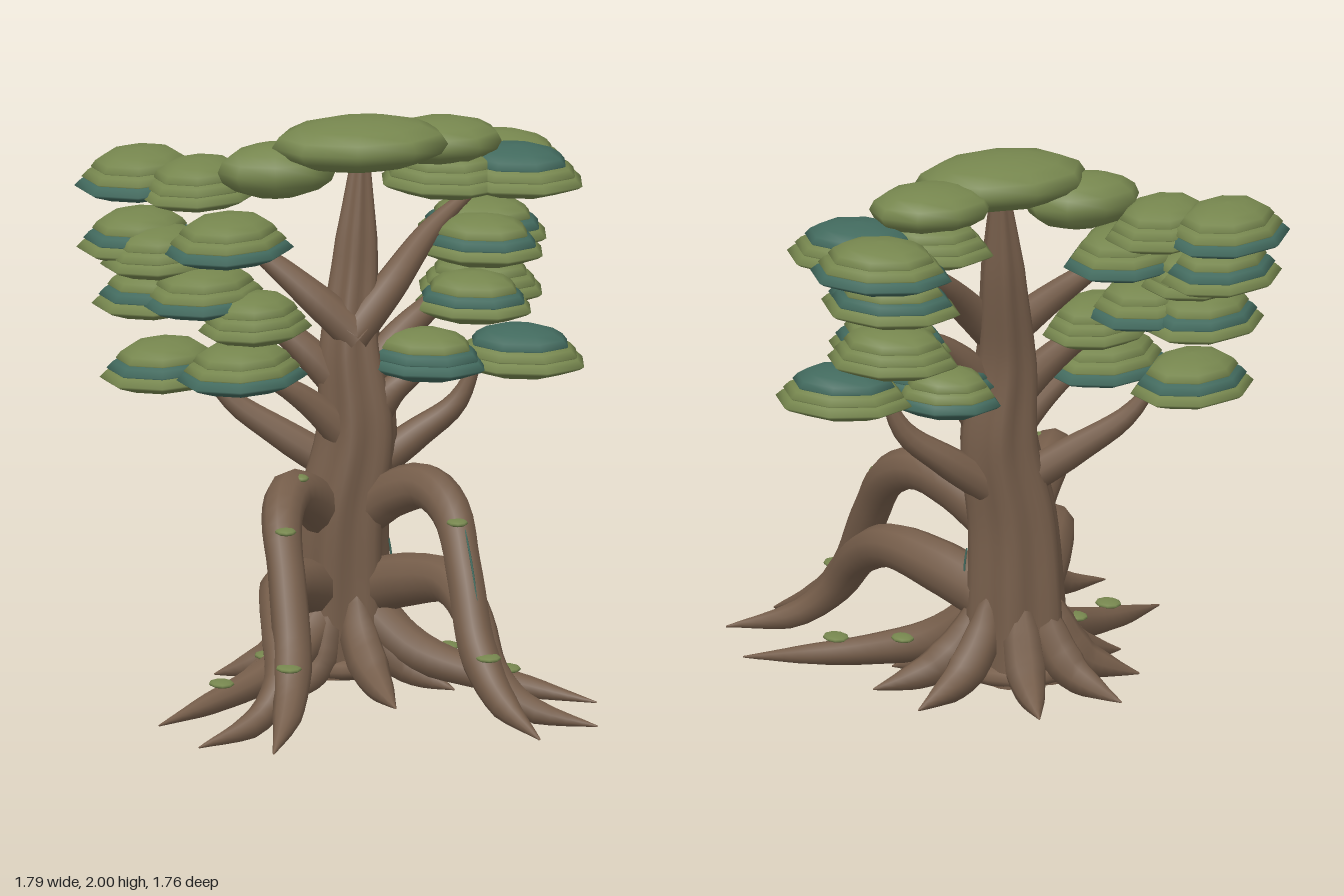
import * as THREE from 'three';
import { mergeVertices } from 'three/addons/utils/BufferGeometryUtils.js';

const V = (p) => new THREE.Vector3(...p);
const mat = (name, color) => {
  const m = new THREE.MeshStandardMaterial({ color });
  m.name = name;
  return m;
};

// Linear lookup in an evenly spaced list
function sample(list, t) {
  const f = t * (list.length - 1);
  const i = Math.min(Math.floor(f), list.length - 2);
  return THREE.MathUtils.lerp(list[i], list[i + 1], f - i);
}

// Tapered tube along a curve, kept above the ground, with optional lobes
function limb(points, radii, { seg = 18, sides = 9, lobe = 0 } = {}) {
  const curve = new THREE.CatmullRomCurve3(points.map(V));
  const geo = new THREE.TubeGeometry(curve, seg, 1, sides, false);
  const pos = geo.attributes.position;
  const v = new THREE.Vector3();
  for (let i = 0; i <= seg; i++) {
    const c = curve.getPointAt(i / seg);
    const r = sample(radii, i / seg);
    for (let j = 0; j <= sides; j++) {
      const k = i * (sides + 1) + j;
      const wave = 1 + lobe * Math.cos((j / sides) * Math.PI * 12 + (i / seg) * 2);
      v.fromBufferAttribute(pos, k).sub(c).multiplyScalar(r * wave).add(c);
      pos.setXYZ(k, v.x, Math.max(v.y, 0), v.z);
    }
  }
  geo.deleteAttribute('uv');
  geo.deleteAttribute('normal');
  const out = mergeVertices(geo, 1e-5);
  out.computeVertexNormals();
  return out;
}

export function createModel() {
  const model = new THREE.Group();
  model.name = 'ancientTree';
  const bark = mat('bark', 0x755d4a);
  bark.side = THREE.DoubleSide;
  const leaf = mat('leaf', 0x76864e);
  const teal = mat('deepLeaf', 0x426a5e);

  const add = (name, geo, material, parent = model) => {
    const m = new THREE.Mesh(geo, material);
    m.name = name;
    parent.add(m);
    return m;
  };

  // Trunk with soft vertical ridges and a rounded underside
  add('trunk', limb(
    [[-0.03, 0.03, -0.22], [-0.03, 0.3, -0.22], [-0.02, 0.6, -0.21], [0.03, 0.9, -0.21],
      [0.01, 1.2, -0.23], [0.04, 1.5, -0.28], [0.07, 1.88, -0.32]],
    [0.185, 0.17, 0.155, 0.135, 0.1, 0.075, 0.03],
    { seg: 30, sides: 36, lobe: 0.09 }), bark);
  const base = add('trunkBase', new THREE.SphereGeometry(1, 18, 8), bark);
  base.scale.set(0.215, 0.06, 0.215);
  base.position.set(-0.03, 0.062, -0.22);

  // Mirrored arching roots and long side roots
  for (const s of [-1, 1]) {
    const side = s > 0 ? 'left' : 'right';
    const o = s < 0 ? -0.04 : 0;
    const mirror = (pts) => pts.map(([x, y, z]) => [s * x + o, y, z]);
    add(side + 'UpperArchRoot', limb(mirror(
      [[0.05, 0.6, -0.17], [0.14, 0.695, -0.07], [0.225, 0.74, 0.04], [0.285, 0.68, 0.18],
        [0.3, 0.49, 0.34], [0.315, 0.25, 0.49], [0.365, 0.1, 0.65], [0.46, 0.005, 0.85]]),
    [0.085, 0.085, 0.075, 0.066, 0.068, 0.07, 0.052, 0.004], { seg: 28, sides: 10 }), bark);
    add(side + 'LowerArchRoot', limb(mirror(
      [[0.06, 0.32, -0.2], [0.18, 0.39, -0.02], [0.285, 0.42, 0.17], [0.33, 0.33, 0.36],
        [0.365, 0.17, 0.51], [0.47, 0.06, 0.6], [0.7, 0.005, 0.71]]),
    [0.1, 0.095, 0.08, 0.07, 0.06, 0.045, 0.003], { seg: 24, sides: 10 }), bark);
    add(side + 'LongRoot', limb(mirror(
      [[0.06, 0.26, -0.15], [0.2, 0.13, -0.03], [0.38, 0.07, 0.1], [0.56, 0.035, 0.22], [0.77, 0.005, 0.37]]),
    [0.08, 0.075, 0.055, 0.038, 0.003]), bark);
  }

  // Spreading roots around the base: [tip x, tip z]
  [[0.06, 0.3], [-0.28, 0.1], [0.32, 0.08], [-0.5, -0.04], [0.48, -0.14],
    [-0.46, -0.32], [0.42, -0.42], [-0.28, -0.6], [0.06, -0.67]].forEach(([x, z], i) => {
    const dx = x + 0.02, dz = z + 0.22;
    const at = (t, y) => [-0.02 + dx * t, y, -0.22 + dz * t];
    const n = 0.12 / Math.hypot(dx, dz);
    add('baseRoot' + (i + 1), limb(
      [at(n, 0.34), at(n * 1.3, 0.2), at(0.52, 0.085), at(0.75, 0.035), at(1, 0.004)],
      [0.03, 0.07, 0.075, 0.048, 0.003], { seg: 14, sides: 8 }), bark);
  });

  // Branches reaching to the foliage
  [
    [[0.03, 1.24, -0.17], [-0.12, 1.38, -0.22], [-0.3, 1.53, -0.31], [-0.4, 1.58, -0.34]],
    [[0.0, 1.24, -0.17], [0.15, 1.4, -0.23], [0.33, 1.57, -0.36], [0.52, 1.7, -0.45]],
    [[0.02, 1.0, -0.2], [-0.13, 1.17, -0.24], [-0.27, 1.29, -0.3], [-0.45, 1.37, -0.38]],
    [[0.04, 1.05, -0.2], [0.18, 1.21, -0.24], [0.33, 1.32, -0.3], [0.5, 1.37, -0.42]],
    [[0.05, 0.8, -0.17], [-0.1, 0.97, -0.16], [-0.24, 1.08, -0.15], [-0.38, 1.14, -0.14]],
    [[0.05, 0.9, -0.18], [0.14, 1.04, -0.16], [0.25, 1.12, -0.15], [0.32, 1.16, -0.15]],
    [[0.02, 0.72, -0.24], [-0.22, 0.87, -0.32], [-0.39, 0.99, -0.38], [-0.5, 1.14, -0.42]],
    [[0.05, 0.72, -0.24], [0.25, 0.86, -0.24], [0.39, 0.97, -0.22], [0.47, 1.14, -0.2]],
  ].forEach((pts, i) => add('branch' + (i + 1),
    limb(pts, [0.068, 0.06, 0.042, 0.015], { seg: 14, sides: 9 }), bark));

  // Domed leaf layer with an angular outline
  const lens = new THREE.LatheGeometry(
    [[0, -0.055], [0.6, -0.042], [0.93, -0.012], [1, 0], [0.9, 0.023], [0.7, 0.046], [0.4, 0.061], [0, 0.066]]
      .map((p) => new THREE.Vector2(...p)), 8);

  // Layered pads: x, y, z, radius, layer colours from the bottom up
  const paint = { g: leaf, d: teal };
  [
    [-0.65, 1.75, -0.68, 0.26, 'dgg'], [-0.47, 1.74, -0.53, 0.245, 'ggg'],
    [-0.68, 1.56, -0.55, 0.25, 'gdg'], [-0.41, 1.58, -0.32, 0.26, 'dgg'],
    [-0.63, 1.52, -0.45, 0.235, 'ggg'], [-0.64, 1.37, -0.48, 0.25, 'gdg'],
    [-0.49, 1.395, -0.34, 0.26, 'dgg'], [-0.33, 1.31, -0.24, 0.225, 'ggg'],
    [-0.62, 1.115, -0.42, 0.255, 'gdg'], [-0.39, 1.15, -0.18, 0.26, 'dgg'],
    [0.27, 1.165, -0.17, 0.23, 'ddg'], [0.62, 1.15, -0.21, 0.25, 'ggd'],
    [0.27, 1.135, -0.31, 0.2, 'dgg'],
    [0.46, 1.345, -0.25, 0.225, 'gdg'], [0.53, 1.36, -0.45, 0.24, 'ggg'],
    [0.54, 1.56, -0.47, 0.25, 'gdg'], [0.51, 1.53, -0.33, 0.235, 'gdg'],
    [0.4, 1.755, -0.45, 0.245, 'ggg'], [0.65, 1.755, -0.42, 0.26, 'ggd'],
    [0.65, 1.75, -0.64, 0.26, 'dgg'],
  ].forEach(([x, y, z, r, colours], i) => {
    const pad = new THREE.Group();
    pad.name = 'foliagePad' + (i + 1);
    pad.position.set(x, y, z);
    pad.rotation.y = x < 0 ? 0.65 : -0.65;
    [...colours].forEach((c, k) => {
      const layer = add('leafLayer' + (k + 1), lens, paint[c], pad);
      const w = r * [1, 0.89, 0.75][k];
      layer.scale.set(w, 0.95, w * 0.81);
      layer.position.y = [-0.034, -0.002, 0.033][k];
    });
    model.add(pad);
  });

  // Rounded crown domes: centre, half sizes
  const dome = new THREE.SphereGeometry(1, 9, 8);
  [
    [0.07, 1.905, -0.33, 0.32, 0.095, 0.215],
    [-0.22, 1.812, -0.38, 0.215, 0.1, 0.14],
    [0.38, 1.875, -0.44, 0.225, 0.083, 0.175],
  ].forEach(([x, y, z, a, b, c], i) => {
    const m = add('crownDome' + (i + 1), dome, leaf);
    m.position.set(x, y, z);
    m.scale.set(a, b, c);
  });

  // Small moss cushions on the roots: x, y, z, radius
  [
    [-0.335, 0.665, 0.285, 0.038], [0.285, 0.665, 0.285, 0.038], [-0.385, 0.24, 0.57, 0.046],
    [0.335, 0.24, 0.57, 0.046], [-0.545, 0.1, 0.19, 0.045], [0.49, 0.1, 0.19, 0.045],
    [-0.23, 0.798, 0.06, 0.028], [-0.34, 0.14, -0.02, 0.04], [0.32, 0.14, -0.02, 0.04],
  ].forEach(([x, y, z, r], i) => {
    const m = add('moss' + (i + 1), dome, leaf);
    m.position.set(x, y, z);
    m.scale.set(r, 0.013, r * 1.25);
  });

  // Thin vines on the arch and trunk
  [
    [[0.31, 0.645, 0.3], [0.315, 0.54, 0.385], [0.32, 0.42, 0.455]],
    [[0.14, 0.5, -0.18], [0.147, 0.45, -0.18], [0.15, 0.4, -0.18]],
  ].forEach((pts, i) => add('vine' + (i + 1),
    limb(pts, [0.003, 0.004, 0.003], { seg: 8, sides: 5 }), teal));

  return model;
}
